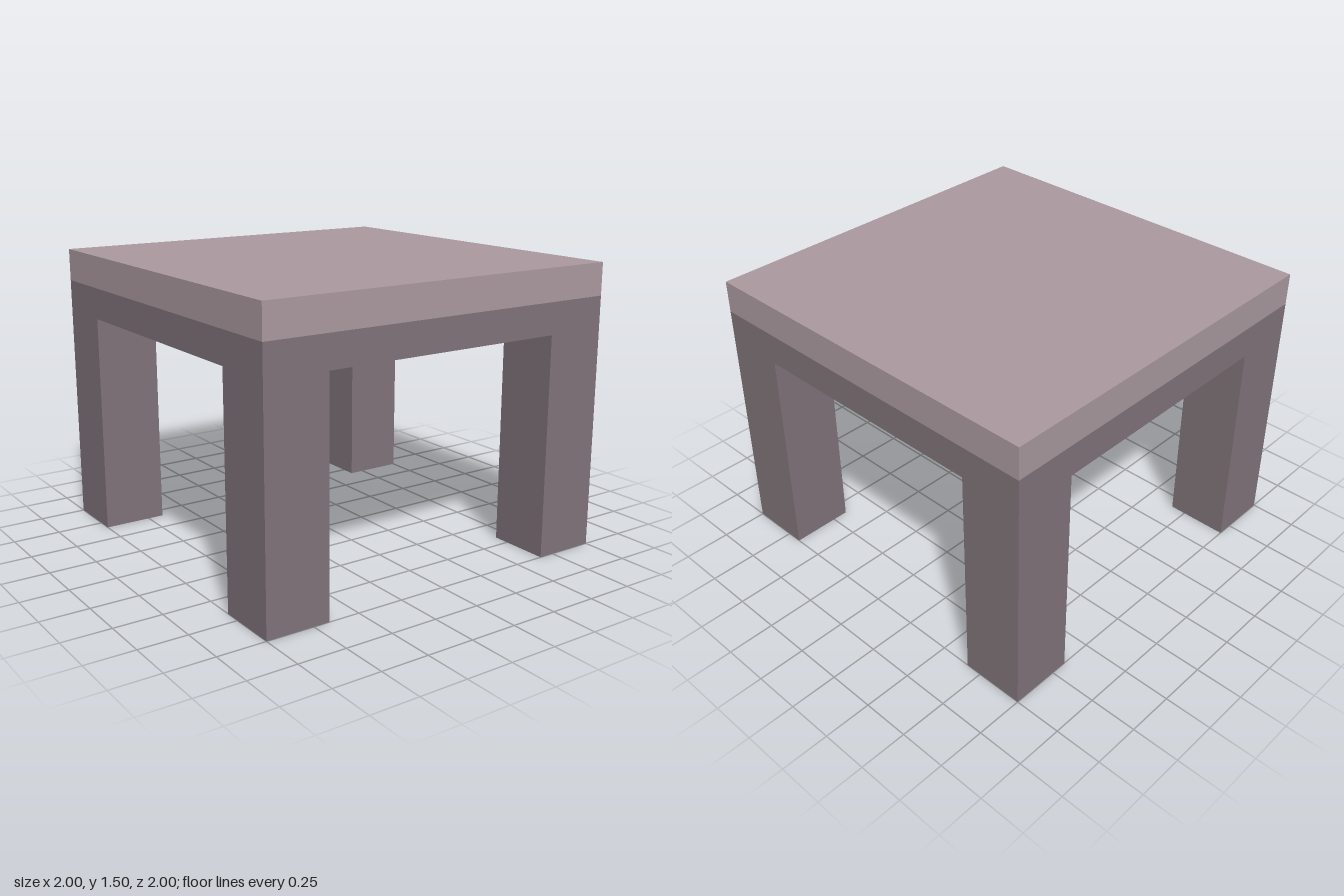
import * as THREE from 'three';

const HEIGHT = 1.505, LEG = 0.335, LEG_TOP = 1.17, SLAB_BOTTOM = 1.335, RAIL = 0.167;

export function createModel() {
  const group = new THREE.Group();
  const topMat = new THREE.MeshStandardMaterial({ color: 0xab9aa0 });
  const frameMat = new THREE.MeshStandardMaterial({ color: 0x80747a });

  // Box given by its centre in x and z and its bottom and top heights
  const addBox = (name, mat, w, d, x, z, y0, y1) => {
    const mesh = new THREE.Mesh(new THREE.BoxGeometry(w, y1 - y0, d), mat);
    mesh.name = name;
    mesh.position.set(x, (y0 + y1) / 2, z);
    group.add(mesh);
  };

  addBox('tableTop', topMat, 2, 2, 0, 0, SLAB_BOTTOM, HEIGHT);

  // Square frame of rails under the top: side rails run full length, the others fit between
  for (const s of [1, -1]) {
    const c = s * (1 - RAIL / 2);
    addBox(s > 0 ? 'leftRail' : 'rightRail', frameMat, RAIL, 2, c, 0, LEG_TOP, SLAB_BOTTOM);
    addBox(s > 0 ? 'frontRail' : 'backRail', frameMat, 2 - 2 * RAIL, RAIL, 0, c, LEG_TOP, SLAB_BOTTOM);
  }

  // Four square legs, flush with the corners and ending below the rails
  const p = 1 - LEG / 2;
  for (const sx of [1, -1]) {
    for (const sz of [1, -1]) {
      const name = (sz > 0 ? 'front' : 'back') + (sx > 0 ? 'Left' : 'Right') + 'Leg';
      addBox(name, frameMat, LEG, LEG, sx * p, sz * p, 0, LEG_TOP);
    }
  }
  return group;
}
